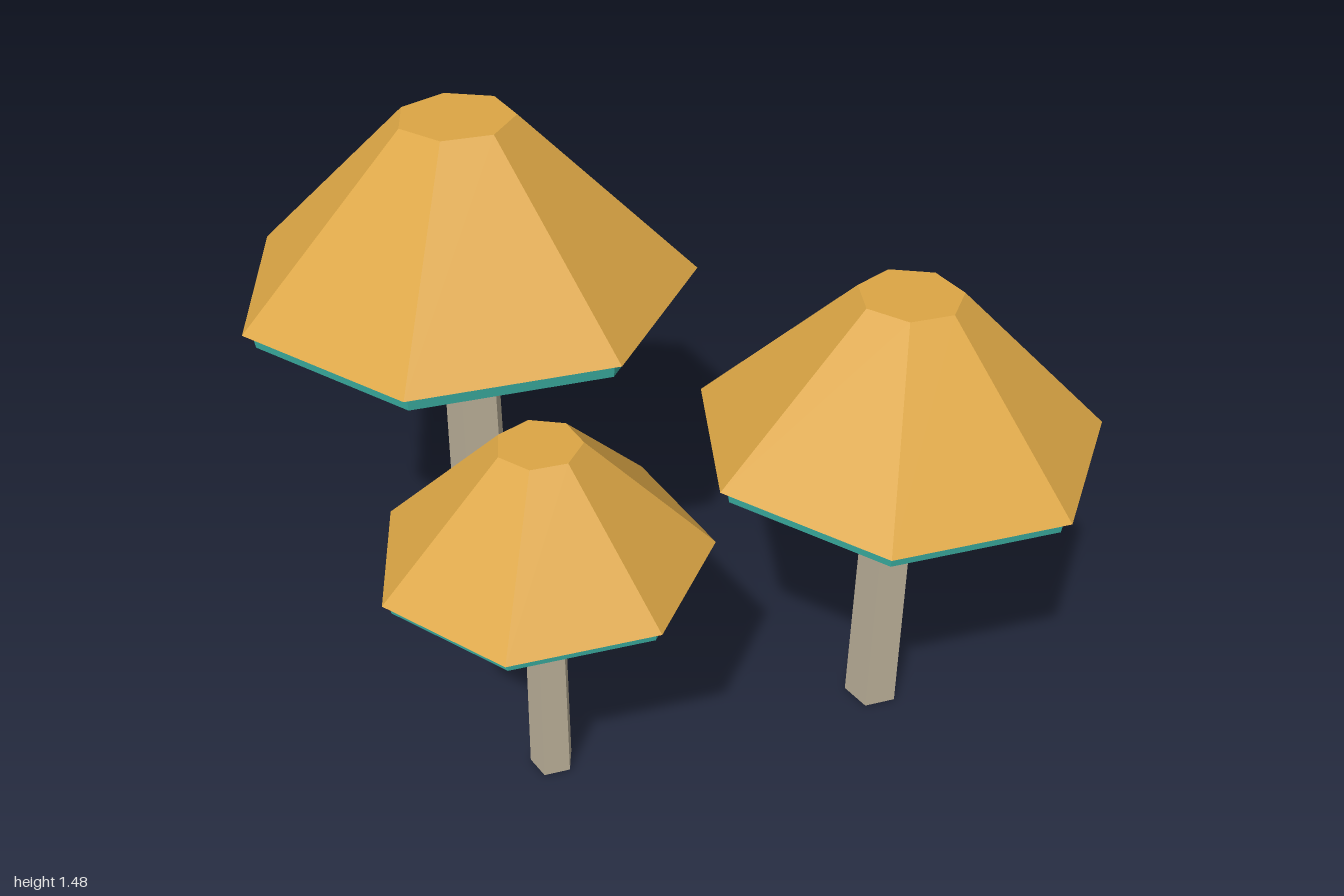
import * as THREE from 'three';

const capMaterial = new THREE.MeshStandardMaterial({ color: 0xdca645 });
capMaterial.name = 'ochre cap';
const gillMaterial = new THREE.MeshStandardMaterial({ color: 0x3bafa2 });
gillMaterial.name = 'teal gills';
const stemMaterial = new THREE.MeshStandardMaterial({ color: 0xbaaf98 });
stemMaterial.name = 'pale stem';

// Faceted prism from y0 to y1 with one corner pointing to the back
function prism(name, material, topRadius, bottomRadius, y0, y1, sides) {
  const geometry = new THREE.CylinderGeometry(
    topRadius, bottomRadius, y1 - y0, sides, 1, false, Math.PI
  ).toNonIndexed();
  geometry.computeVertexNormals();
  const mesh = new THREE.Mesh(geometry, material);
  mesh.name = name;
  mesh.position.y = (y0 + y1) / 2;
  return mesh;
}

// One mushroom: r is the cap radius, the heights mark gill bottom, cap rim and cap top
function mushroom({ name, x, z, r, gillY, rimY, topY }) {
  const group = new THREE.Group();
  group.name = name;
  group.position.set(x, 0, z);
  group.add(
    prism('stem', stemMaterial, 0.127 * r, 0.14 * r, 0, gillY, 5),
    prism('gills', gillMaterial, 0.96 * r, 0.95 * r, gillY, rimY, 7),
    prism('cap', capMaterial, 0.25 * r, r, rimY, topY, 7)
  );
  return group;
}

export function createModel() {
  const model = new THREE.Group();
  model.name = 'mushroomCluster';
  const sizes = [
    { name: 'largeMushroom', x: -0.401, z: -0.318, r: 0.614, gillY: 0.976, rimY: 1.02, topY: 1.475 },
    { name: 'mediumMushroom', x: 0.5, z: 0.468, r: 0.513, gillY: 0.82, rimY: 0.857, topY: 1.24 },
    { name: 'smallMushroom', x: -0.401, z: 0.471, r: 0.411, gillY: 0.668, rimY: 0.697, topY: 1.003 },
  ];
  for (const size of sizes) model.add(mushroom(size));
  return model;
}
